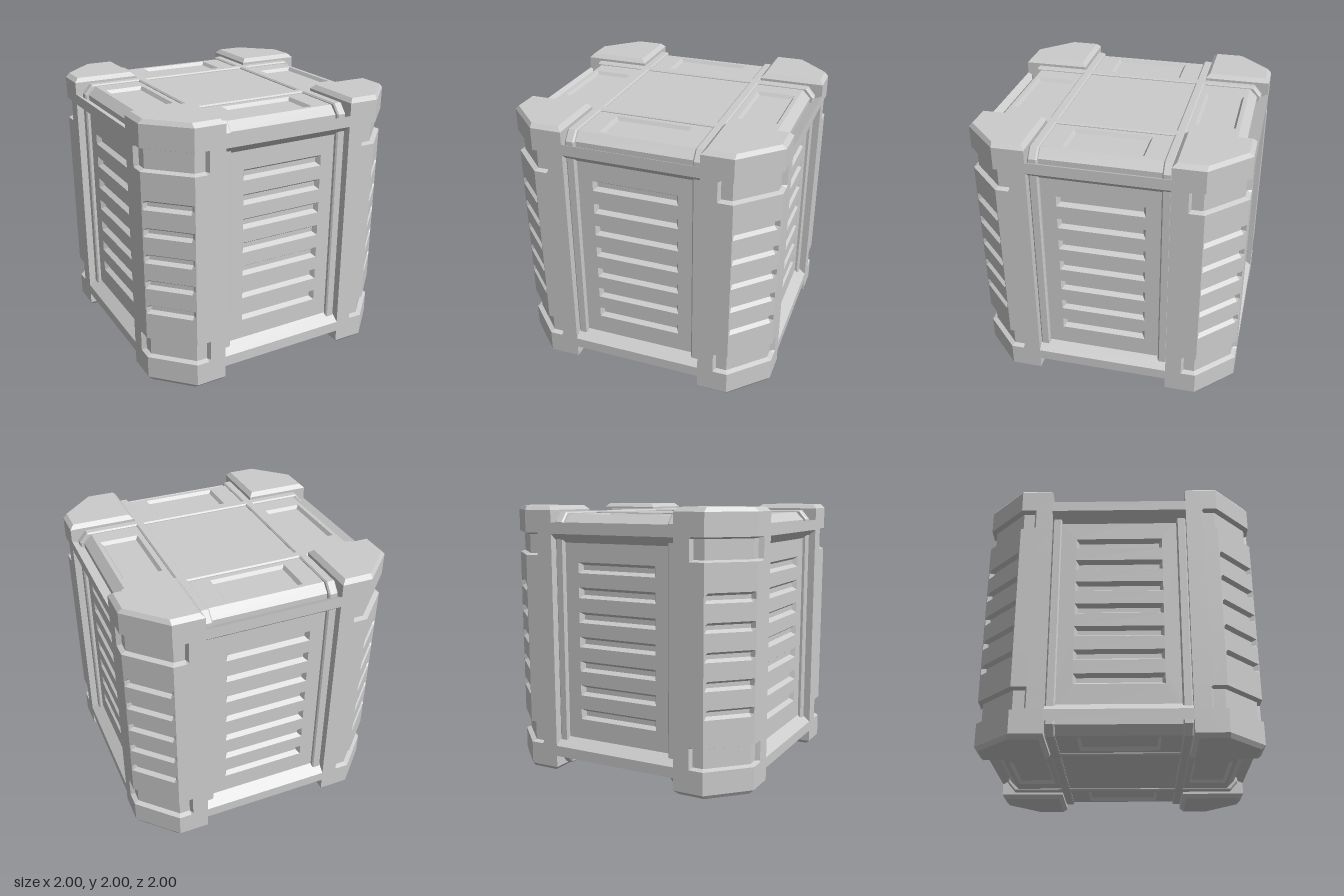
import * as THREE from 'three';

const material = new THREE.MeshStandardMaterial({ color: 0xcccccc, flatShading: true });

function part(name, geometry) {
  const mesh = new THREE.Mesh(geometry, material);
  mesh.name = name;
  return mesh;
}

// Skin a stack of equal-length rings of [x, y, z] points, with optional end caps
function loft(rings, capStart, capEnd) {
  const n = rings[0].length, index = [];
  for (let r = 0; r < rings.length - 1; r++) {
    for (let i = 0; i < n; i++) {
      const a = r * n + i, b = r * n + (i + 1) % n;
      index.push(a, b, b + n, a, b + n, a + n);
    }
  }
  const last = (rings.length - 1) * n;
  for (let i = 1; i < n - 1; i++) {
    if (capStart) index.push(0, i + 1, i);
    if (capEnd) index.push(last, last + i, last + i + 1);
  }
  const indexed = new THREE.BufferGeometry();
  indexed.setAttribute('position', new THREE.Float32BufferAttribute(rings.flat(2), 3));
  indexed.setIndex(index);
  const geometry = indexed.toNonIndexed();
  geometry.computeVertexNormals();
  return geometry;
}

const rect = (cx, cy, hw, hh) =>
  [[cx - hw, cy - hh], [cx + hw, cy - hh], [cx + hw, cy + hh], [cx - hw, cy + hh]];
const toShape = points => new THREE.Shape(points.map(p => new THREE.Vector2(...p)));

// Flat plate facing +z with bevelled rectangular pockets [cx, cy, halfWidth, halfHeight]
function pocketPlate(name, outline, pockets, depth, bevel) {
  const group = new THREE.Group();
  group.name = name;
  const shape = toShape(outline);
  for (const [cx, cy, hw, hh] of pockets) {
    const rim = rect(cx, cy, hw, hh);
    shape.holes.push(toShape(rim));
    const floor = rect(cx, cy, hw - bevel, hh - bevel);
    group.add(part('pocket', loft([
      rim.map(([x, y]) => [x, y, 0]),
      floor.map(([x, y]) => [x, y, -depth]),
    ], false, true)));
  }
  group.add(part('plate', new THREE.ShapeGeometry(shape)));
  return group;
}

// Extrude a (z, y) section along x, centred on x
function extrudeAlongX(points, centre, width, bevel = 0) {
  const geometry = new THREE.ExtrudeGeometry(toShape(points), {
    depth: width - 2 * bevel, bevelEnabled: bevel > 0, bevelSegments: 1,
    bevelThickness: bevel, bevelSize: bevel, bevelOffset: -bevel,
  });
  return geometry.translate(0, 0, bevel - width / 2).rotateY(-Math.PI / 2).translate(centre, 0, 0);
}

// Chamfered post section: wrap = depth of the corner notch, slot = depth of a chamfer slot
function postRing(y, wrap = 0, slot = 0, scale = 1) {
  const m = [0.73 - 0.414 * wrap, 1 - wrap];
  const along = (t, d) => {
    const s = t * (m[1] - m[0]);
    return [m[0] + s - d * 0.707, m[1] - s - d * 0.707];
  };
  const half = [[0.5, 1], [0.62, 1], [0.635, 1 - wrap], m, along(0.02, 0), along(0.08, slot)];
  const mirrored = half.map(([x, z]) => [z, x]).reverse();
  return [[0.5, 0.5], ...half, ...mirrored]
    .map(([x, z]) => [0.75 + (x - 0.75) * scale, y, 0.75 + (z - 0.75) * scale]);
}

function cornerPost() {
  const rings = [postRing(0, 0, 0, 0.88), postRing(0.03)];
  const cut = (low, high, bevel, wrap, slot) => rings.push(
    postRing(low), postRing(low + bevel, wrap, slot),
    postRing(high - bevel, wrap, slot), postRing(high));
  cut(0.2, 0.365, 0.013, 0.035, 0);
  for (let i = -2; i <= 2; i++) cut(0.968 + i * 0.2, 1.038 + i * 0.2, 0.02, 0, 0.03);
  cut(1.64, 1.805, 0.013, 0.035, 0);
  rings.push(postRing(1.97), postRing(2, 0, 0, 0.88));
  return part('cornerPost', loft(rings, true, true));
}

// Horizontal rail with a sloped underside and a channel behind its upper lip
const railSection = [[1, 1.8], [1, 1.88], [0.92, 1.84], [0.88, 1.84], [0.88, 1.735], [0.92, 1.735]];

function side() {
  const group = new THREE.Group();
  group.name = 'side';
  group.add(cornerPost());
  group.add(part('topRail', extrudeAlongX(railSection, 0, 1)));
  group.add(part('bottomRail', extrudeAlongX(railSection.map(([z, y]) => [z, 2 - y]), 0, 1)));
  const slots = [];
  for (let i = 0; i < 7; i++) slots.push([0, 0.455 + i * 0.1835, 0.32, 0.04]);
  const panel = pocketPlate('louvredPanel', rect(0, 1, 0.52, 0.88), slots, 0.035, 0.022);
  panel.position.z = 0.92;
  group.add(panel);
  return group;
}

// Eight-sided outline of a lid, kept inside the posts
const lidOutline = r =>
  [[r, -0.55], [r, 0.55], [0.55, r], [-0.55, r], [-r, 0.55], [-r, -0.55], [-0.55, -r], [0.55, -r]];

// Lid with four pockets and a sloped rim, built facing +z
function lid(name) {
  const pockets = [
    [0, 0.685, 0.285, 0.145], [0, -0.685, 0.285, 0.145],
    [0.685, 0, 0.145, 0.285], [-0.685, 0, 0.145, 0.285],
  ];
  const group = pocketPlate(name, lidOutline(0.86), pockets, 0.025, 0.018);
  group.add(part('slopedRim', loft([
    lidOutline(0.92).map(([x, y]) => [x, y, -0.06]),
    lidOutline(0.86).map(([x, y]) => [x, y, 0]),
  ], false, false)));
  return group;
}

export function createModel() {
  const model = new THREE.Group();
  model.name = 'crate';

  // Four identical sides, each with one corner post
  for (let i = 0; i < 4; i++) {
    const s = side();
    s.rotation.y = i * Math.PI / 2;
    model.add(s);
  }

  // Lid and base
  const top = lid('lid');
  top.rotation.x = -Math.PI / 2;
  top.position.y = 1.94;
  const base = lid('base');
  base.rotation.x = Math.PI / 2;
  base.position.y = 0.06;
  model.add(top, base);

  // Raised bands running round the body in both directions
  const band = [[0.95, 0.115], [0.95, 1.885], [0.89, 1.955], [-0.89, 1.955],
    [-0.95, 1.885], [-0.95, 0.115], [-0.89, 0.045], [0.89, 0.045]];
  for (const turn of [0, Math.PI / 2]) {
    for (const x of [-0.465, 0.465]) {
      model.add(part('band', extrudeAlongX(band, x, 0.07, 0.01).rotateY(turn)));
    }
  }
  return model;
}
